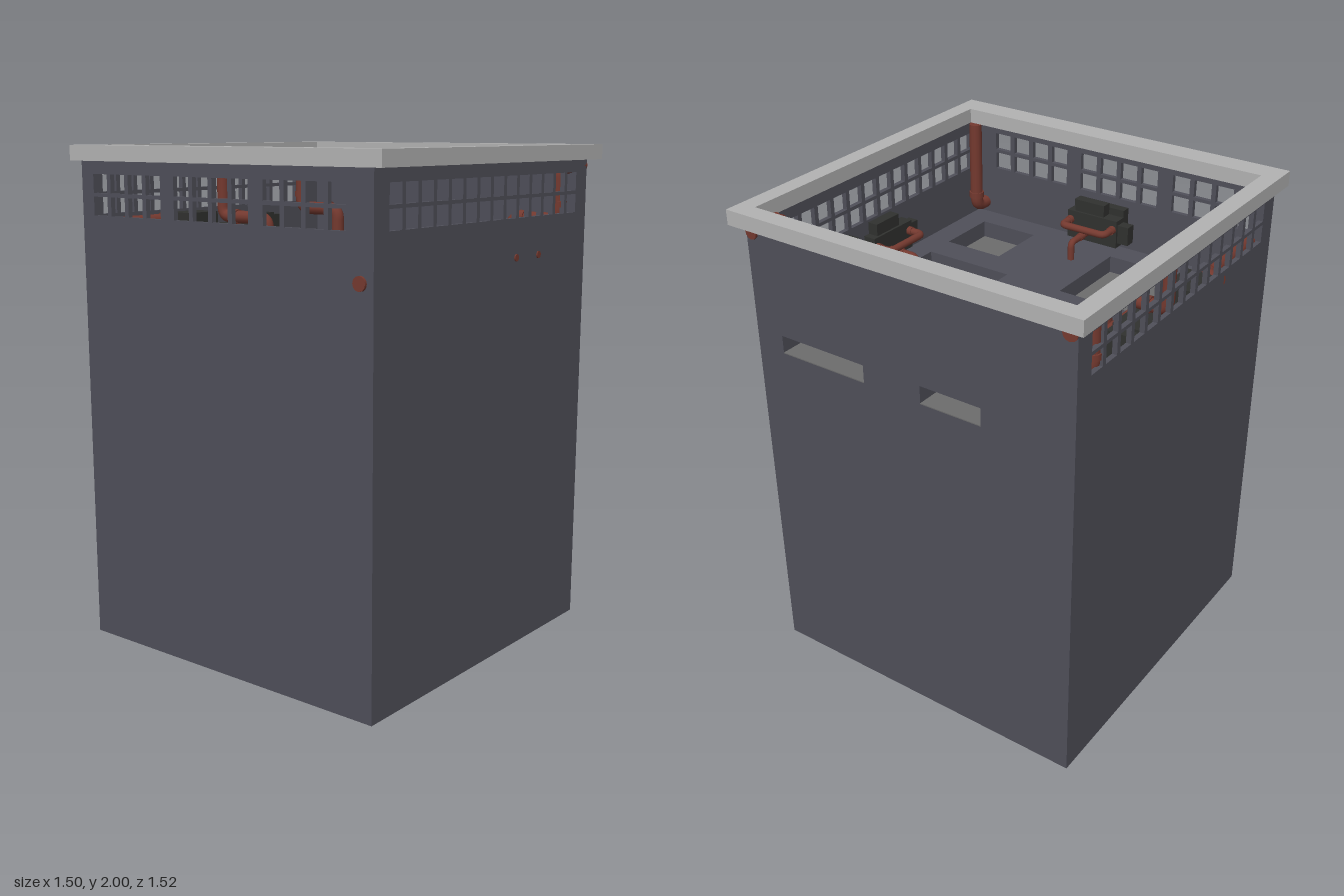
import * as THREE from 'three';

const mat = (name, color) => {
  const m = new THREE.MeshStandardMaterial({ color });
  m.name = name;
  return m;
};

export function createModel() {
  const root = new THREE.Group();
  root.name = 'plantRoom';
  const wallMat = mat('slate wall', 0x4f4f59);
  const rimMat = mat('light concrete', 0xb2b2b2);
  const pitMat = mat('pit grey', 0x6c6c6c);
  const pipeMat = mat('rust pipe', 0x74392f);
  const boxMat = mat('dark machine', 0x30312f);

  const add = (name, geo, m, parent = root) => {
    const mesh = new THREE.Mesh(geo, m);
    mesh.name = name;
    parent.add(mesh);
    return mesh;
  };
  // box given by its lower and upper corners
  const block = (name, x0, x1, y0, y1, z0, z1, m, parent) => {
    const b = add(name, new THREE.BoxGeometry(x1 - x0, y1 - y0, z1 - z0), m, parent);
    b.position.set((x0 + x1) / 2, (y0 + y1) / 2, (z0 + z1) / 2);
    return b;
  };
  const poly = (pts, Kind = THREE.Shape) => new Kind(pts.map(([x, y]) => new THREE.Vector2(x, y)));
  const rect = (x0, x1, y0, y1, Kind) => poly([[x0, y0], [x1, y0], [x1, y1], [x0, y1]], Kind);
  const extrude = (shape, depth) => new THREE.ExtrudeGeometry(shape, { depth, bevelEnabled: false });

  const X0 = -0.73, X1 = 0.705, Z = 0.715, FLOOR = 1.515, PIT = 1.44, TOP = 1.94, T = 0.02;

  // solid base, with a floor slab that has pits; two pits run out through the right wall
  block('base', X0, X1, 0, PIT, -Z, Z, wallMat);
  const slab = poly([[X0, -Z], [X1, -Z], [X1, -0.33], [0.445, -0.33], [0.445, -0.065], [X1, -0.065],
    [X1, 0.195], [0.315, 0.195], [0.315, 0.59], [X1, 0.59], [X1, Z], [X0, Z]]);
  const pits = [[-0.6, -0.205, -0.46, -0.065], [-0.08, 0.315, -0.46, -0.065],
    [-0.6, -0.335, 0.325, 0.59], [-0.21, 0.185, 0.195, 0.59]];
  pits.forEach((p) => slab.holes.push(rect(...p, THREE.Path)));
  const slabMesh = add('floorSlab', extrude(slab, FLOOR - PIT), wallMat);
  slabMesh.rotation.x = Math.PI / 2;
  slabMesh.position.y = FLOOR;
  [...pits, [0.445, X1, -0.33, -0.065], [0.315, X1, 0.195, 0.59]].forEach(([a, b, c, d]) =>
    block('pitFloor', a, b, PIT, PIT + 0.004, c, d, pitMat));

  // upper walls with rows of paned windows cut out
  const paned = (u0, u1, windows) => {
    const s = rect(u0, u1, FLOOR, TOP);
    const bar = 0.02, y0 = 1.73, y1 = 1.89, mid = 1.81;
    windows.forEach(([a, b, n]) => {
      const pitch = (b - a + bar) / n;
      for (let i = 0; i < n; i++) {
        const u = a + i * pitch;
        s.holes.push(rect(u, u + pitch - bar, y0, mid - 0.007, THREE.Path));
        s.holes.push(rect(u, u + pitch - bar, mid + 0.007, y1, THREE.Path));
      }
    });
    return extrude(s, T);
  };
  const longWindow = [[-0.645, 0.62, 14]];
  add('frontWall', paned(X0, X1, longWindow), wallMat).position.z = Z - T;
  add('backWall', paned(X0, X1, longWindow), wallMat).position.z = -Z;
  const side = add('leftWall', paned(-Z + T, Z - T, [[-0.6, -0.23, 4], [-0.16, 0.21, 4], [0.28, 0.65, 4]]), wallMat);
  side.rotation.y = Math.PI / 2;
  side.position.x = X0;
  block('rightWall', X1 - T, X1, FLOOR, TOP, -Z + T, Z - T, wallMat);

  // roof rim
  const rim = rect(-0.75, 0.75, -0.76, 0.76);
  rim.holes.push(rect(-0.645, 0.675, -0.688, 0.688, THREE.Path));
  const rimMesh = add('roofRim', extrude(rim, 0.06), rimMat);
  rimMesh.rotation.x = Math.PI / 2;
  rimMesh.position.y = 2;

  // pipe through corner points with rounded bends, capped ends and optional collars
  const pipe = (name, pts, r, collars = [], parent = root) => {
    const g = new THREE.Group();
    g.name = name;
    parent.add(g);
    const v = pts.map((p) => new THREE.Vector3(...p));
    const path = new THREE.CurvePath();
    let from = v[0];
    for (let i = 1; i < v.length - 1; i++) {
      const bend = Math.min(r * 1.6, v[i].distanceTo(v[i - 1]) * 0.48, v[i].distanceTo(v[i + 1]) * 0.48);
      const a = v[i - 1].clone().sub(v[i]).setLength(bend).add(v[i]);
      const b = v[i + 1].clone().sub(v[i]).setLength(bend).add(v[i]);
      path.add(new THREE.LineCurve3(from, a));
      path.add(new THREE.QuadraticBezierCurve3(a, v[i], b));
      from = b;
    }
    path.add(new THREE.LineCurve3(from, v[v.length - 1]));
    add('tube', new THREE.TubeGeometry(path, 20 * (v.length - 1), r, 12, false), pipeMat, g);
    const turn = (mesh, axis, dir, pos) => {
      mesh.quaternion.setFromUnitVectors(axis, dir.clone().normalize());
      mesh.position.copy(pos);
    };
    const zAxis = new THREE.Vector3(0, 0, 1), yAxis = new THREE.Vector3(0, 1, 0);
    [[0, 1], [v.length - 1, v.length - 2]].forEach(([e, n]) =>
      turn(add('endCap', new THREE.CircleGeometry(r, 12), pipeMat, g), zAxis, v[e].clone().sub(v[n]), v[e]));
    // collars: segment index and fraction along it
    collars.forEach(([i, t]) => turn(
      add('collar', new THREE.CylinderGeometry(r * 1.2, r * 1.2, 0.025, 12), pipeMat, g),
      yAxis, v[i + 1].clone().sub(v[i]), v[i].clone().lerp(v[i + 1], t)));
  };

  // large downpipes in the two right corners
  for (const s of [1, -1]) {
    pipe('cornerDownpipe', [[0.712, 1.915, s * 0.688], [0.55, 1.915, s * 0.675], [0.55, 1.7, s * 0.675],
      [0.55, 1.7, s * 0.462], [0.55, 1.485, s * 0.462]], 0.029, [[0, 0.75], [1, 0.7], [2, 0.75], [3, 0.94]]);
  }
  // centre back downpipe
  pipe('centreDownpipe', [[0, 1.92, -0.712], [0, 1.92, -0.655], [0, 1.69, -0.655], [0, 1.69, -0.4], [0, 1.44, -0.4]],
    0.027, [[2, 0.3], [2, 0.8], [3, 0.85]]);
  // horizontal back pipe and front corner pipe
  pipe('backPipe', [[-0.72, 1.69, -0.635], [-0.335, 1.69, -0.635], [-0.315, 1.69, -0.71]], 0.03, [[0, 0.9]]);
  pipe('frontCornerPipe', [[-0.64, 1.94, 0.66], [-0.64, 1.56, 0.66], [-0.74, 1.56, 0.66]], 0.027, [[0, 0.85]]);

  // back machines and their feed pipe
  block('backMachineLeft', -0.29, -0.12, FLOOR, 1.72, -0.695, -0.575, boxMat);
  block('backMachineMiddle', -0.12, 0.1, FLOOR, 1.66, -0.695, -0.525, boxMat);
  block('backMachineRight', 0.1, 0.26, FLOOR, 1.69, -0.695, -0.555, boxMat);
  block('machineLid', 0.1, 0.215, 1.69, 1.7, -0.695, -0.555, boxMat);
  pipe('feedPipe', [[-0.315, 1.57, -0.7], [-0.315, 1.57, -0.555], [-0.19, 1.57, -0.555], [-0.19, 1.57, -0.445],
    [0.17, 1.57, -0.445], [0.17, 1.57, -0.56]], 0.016, [[0, 0.6], [4, 0.9]]);

  // wall unit: stacked boxes, a loop pipe and a drain; built against z = 0, facing -z
  const wallUnit = (name, drainEnd) => {
    const g = new THREE.Group();
    g.name = name;
    root.add(g);
    block('cabinet', -0.14, 0.1, 1.55, 1.67, -0.055, 0, boxMat, g);
    block('cabinetTop', -0.07, 0.07, 1.67, 1.72, -0.045, 0, boxMat, g);
    block('sideCabinet', -0.19, -0.14, 1.57, 1.65, -0.045, 0, boxMat, g);
    pipe('loopPipe', [[-0.12, 1.63, 0], [-0.12, 1.63, -0.125], [0.085, 1.63, -0.125], [0.085, 1.63, 0]],
      0.015, [[0, 0.5], [2, 0.5]], g);
    pipe('drainPipe', [[0, 1.59, 0], [0, 1.59, -0.185], [0, drainEnd, -0.185]], 0.014, [[0, 0.6]], g);
    return g;
  };
  wallUnit('frontWallUnit', PIT).position.set(-0.01, 0, 0.695);
  const leftUnit = wallUnit('leftWallUnit', FLOOR);
  leftUnit.rotation.y = -Math.PI / 2;
  leftUnit.position.set(-0.67, 0, 0.06);
  block('leftUnitBack', -0.71, -0.67, 1.55, 1.7, -0.08, 0.16, boxMat);

  // small front cabinet with its loop pipe passing through the wall
  block('smallCabinet', 0.18, 0.32, FLOOR, 1.71, 0.645, 0.695, boxMat);
  pipe('smallLoopPipe', [[0.168, 1.58, 0.72], [0.168, 1.58, 0.635], [0.333, 1.58, 0.635], [0.333, 1.58, 0.72]], 0.014);

  return root;
}
